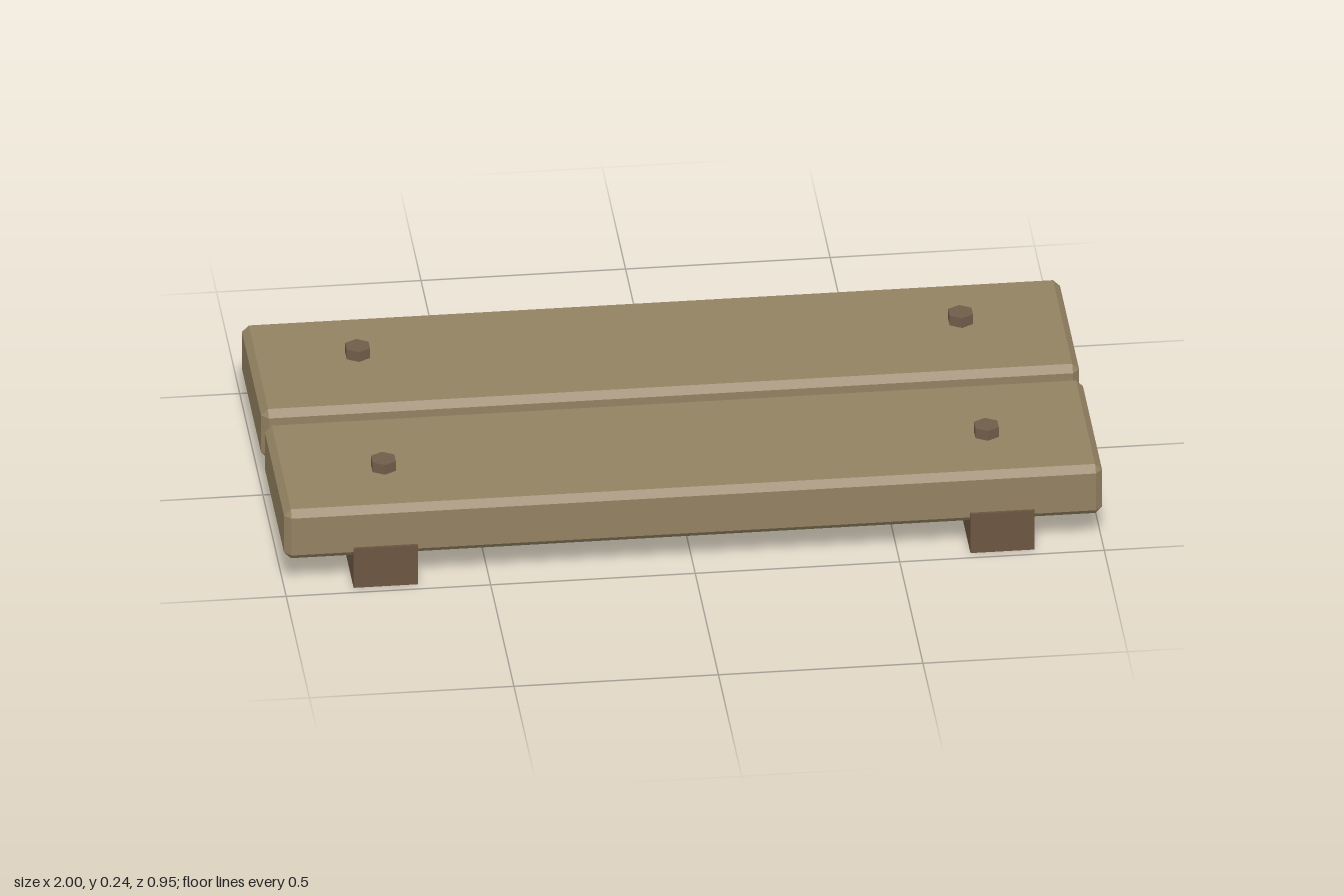
import * as THREE from 'three';
import { ConvexGeometry } from 'three/addons/geometries/ConvexGeometry.js';

// Box with every edge chamfered by c
function chamferedBox(w, h, d, c) {
  const points = [];
  for (const sx of [-1, 1]) for (const sy of [-1, 1]) for (const sz of [-1, 1]) {
    for (const [a, b, e] of [[0, c, c], [c, 0, c], [c, c, 0]]) {
      points.push(new THREE.Vector3(sx * (w / 2 - a), sy * (h / 2 - b), sz * (d / 2 - e)));
    }
  }
  return new ConvexGeometry(points);
}

export function createModel() {
  const model = new THREE.Group();
  model.name = 'plankPlatform';

  const plankWood = new THREE.MeshStandardMaterial({ color: 0x938262, flatShading: true });
  const cleatWood = new THREE.MeshStandardMaterial({ color: 0x6b5540, flatShading: true });
  const boltMetal = new THREE.MeshStandardMaterial({ color: 0x6f5d4a, flatShading: true });

  const add = (name, geometry, material, x, y, z) => {
    const mesh = new THREE.Mesh(geometry, material);
    mesh.name = name;
    mesh.position.set(x, y, z);
    model.add(mesh);
  };

  const plank = chamferedBox(2, 0.137, 0.446, 0.017);
  const cleat = new THREE.BoxGeometry(0.157, 0.109, 0.954);
  const bolt = new THREE.CylinderGeometry(0.033, 0.033, 0.05, 6);

  // Two long planks, front and back
  for (const sz of [1, -1]) {
    add(sz > 0 ? 'frontPlank' : 'backPlank', plank, plankWood, 0, 0.1475, sz * 0.247);
  }

  for (const sx of [1, -1]) {
    const side = sx > 0 ? 'left' : 'right';
    // Cross cleat underneath, let into the planks
    add(side + 'Cleat', cleat, cleatWood, sx * 0.754, 0.0545, 0);
    // Hexagonal bolt heads on top
    for (const sz of [1, -1]) {
      add(side + (sz > 0 ? 'Front' : 'Back') + 'Bolt', bolt, boltMetal, sx * 0.737, 0.218, sz * 0.278);
    }
  }
  return model;
}
